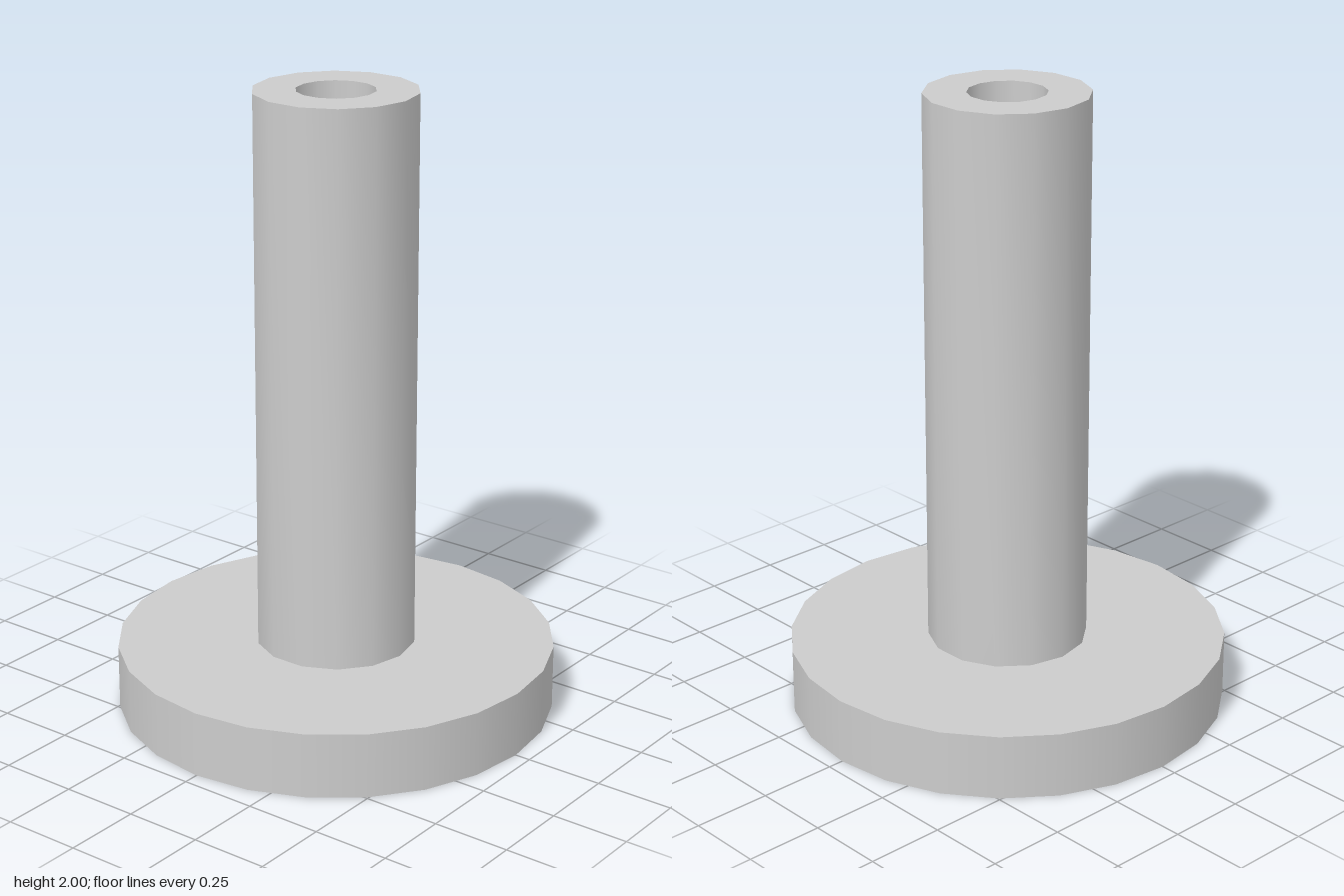
import * as THREE from 'three';
import { toCreasedNormals } from 'three/addons/utils/BufferGeometryUtils.js';

const BASE_RADIUS = 0.7, BASE_HEIGHT = 0.21, TOP = 2;
const TUBE_OUTER = 0.256, TUBE_INNER = 0.123;

export function createModel() {
  const group = new THREE.Group();
  group.name = 'flangedTube';

  const grey = new THREE.MeshStandardMaterial({ color: 0xcccccc });
  grey.name = 'grey';

  // Round base plate; its top also closes the bore
  const base = new THREE.Mesh(new THREE.CylinderGeometry(BASE_RADIUS, BASE_RADIUS, BASE_HEIGHT, 24), grey);
  base.name = 'base';
  base.position.y = BASE_HEIGHT / 2;
  group.add(base);

  // Hollow tube: up the outside, across the rim, down the bore
  const profile = [
    [TUBE_OUTER, BASE_HEIGHT], [TUBE_OUTER, TOP],
    [TUBE_INNER, TOP], [TUBE_INNER, BASE_HEIGHT],
  ].map(([r, y]) => new THREE.Vector2(r, y));
  const tubeGeometry = new THREE.LatheGeometry(profile, 14, Math.PI / 2);
  const tube = new THREE.Mesh(toCreasedNormals(tubeGeometry, Math.PI / 4), grey);
  tube.name = 'tube';
  group.add(tube);

  return group;
}
